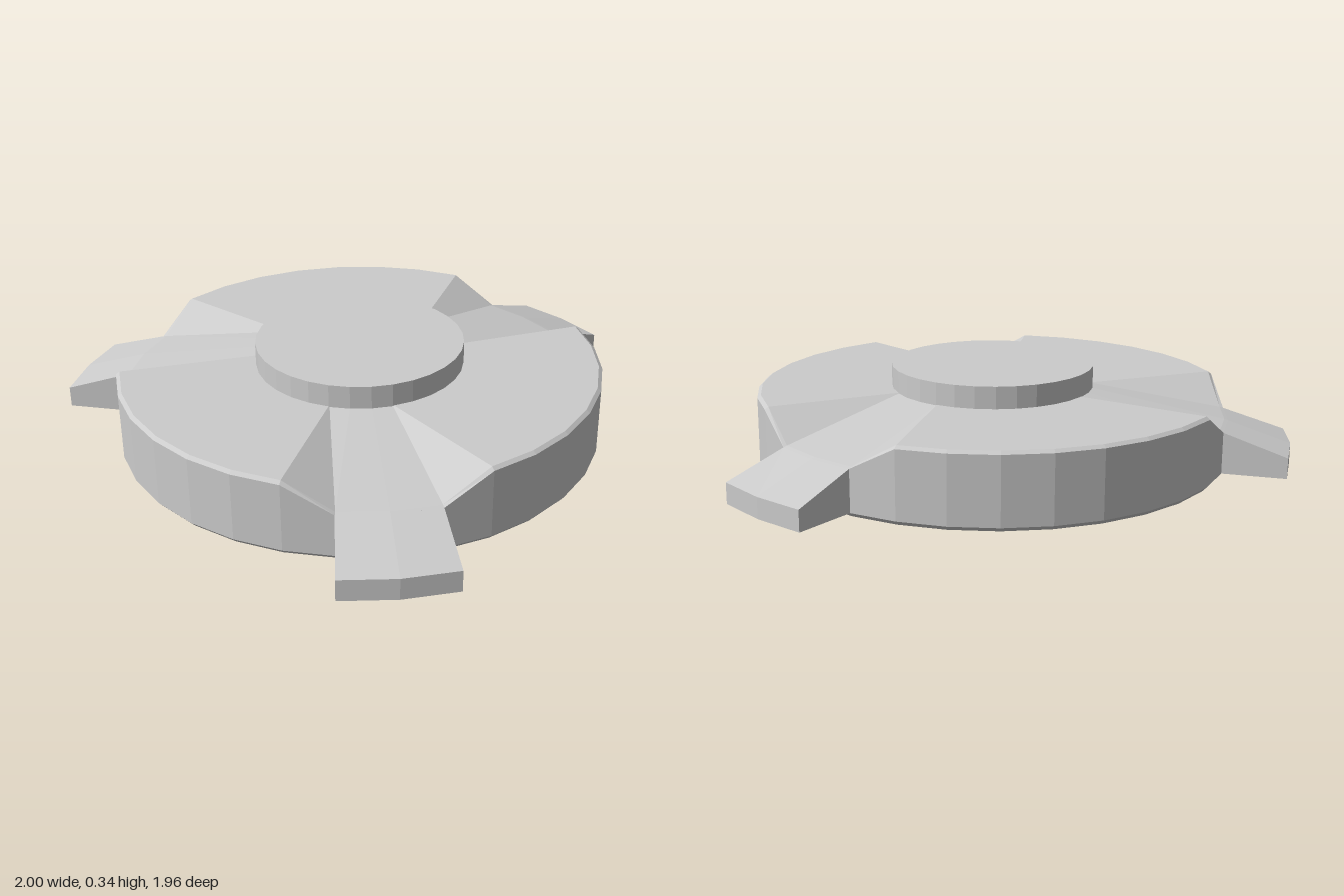
import * as THREE from 'three';

const SIDES = 32;
const STEP = (Math.PI * 2) / SIDES;
const RIM = 0.865, HUB = 0.372, TOP = 0.265, BASE = 0.015;
const FLOOR = 0.165; // groove floor height at the rim
const ARMS = [0, 11, 21]; // rim steps, counted from the back, where arms sit

const material = new THREE.MeshStandardMaterial({ color: 0xcccccc, flatShading: true });

// Point at radius r, height y and angle a, measured from the back towards +x
const polar = (r, y, a) => [r * Math.sin(a), y, -r * Math.cos(a)];

// Skin a list of rows; outside faces are seen with rows rising and columns turning
function skin(rows) {
  const pos = [];
  for (let i = 0; i < rows.length - 1; i++) {
    for (let j = 0; j < rows[i].length - 1; j++) {
      const a = rows[i][j], b = rows[i + 1][j], c = rows[i + 1][j + 1], d = rows[i][j + 1];
      pos.push(...a, ...b, ...c, ...a, ...c, ...d);
    }
  }
  const geo = new THREE.BufferGeometry();
  geo.setAttribute('position', new THREE.Float32BufferAttribute(pos, 3));
  geo.computeVertexNormals();
  return geo;
}

function part(name, geo) {
  const mesh = new THREE.Mesh(geo, material);
  mesh.name = name;
  return mesh;
}

// True where the rim is cut down to the groove floor
function inGroove(j) {
  return ARMS.some((k) => {
    const d = Math.abs((j % SIDES) - k);
    return Math.min(d, SIDES - d) <= 1;
  });
}

// Bevelled disc with three grooves ramping down from the hub to the rim
function discGeometry() {
  const rings = [
    () => [0, 0],
    () => [RIM - 0.013, 0],
    () => [RIM, BASE],
    (j) => [RIM, inGroove(j) ? FLOOR : TOP - 0.01],
    (j) => [RIM - 0.013, inGroove(j) ? FLOOR + 0.004 : TOP],
    () => [HUB - 0.01, TOP],
  ];
  return skin(rings.map((ring) =>
    Array.from({ length: SIDES + 1 }, (_, j) => polar(...ring(j), j * STEP))));
}

// Flared arm: top slopes down outwards, end follows an arc
function armGeometry() {
  const inner = [-STEP, 0, STEP];
  const outer = [-0.175, 0, 0.175];
  const bottomIn = inner.map((a) => polar(RIM, BASE, a));
  const bottomOut = outer.map((a) => polar(1.09, BASE, a));
  const topOut = outer.map((a) => polar(1.09, 0.09, a));
  const topIn = inner.map((a) => polar(RIM, FLOOR, a));
  const rows = [bottomIn, bottomOut, topOut, topIn];
  const shell = skin([...rows, bottomIn]);
  // Close both flanks
  const flank = (j, flip) => {
    const [a, b, c, d] = rows.map((row) => row[j]);
    return flip ? [...a, ...c, ...b, ...a, ...d, ...c] : [...a, ...b, ...c, ...a, ...c, ...d];
  };
  const pos = [...shell.attributes.position.array, ...flank(0, true), ...flank(2, false)];
  const geo = new THREE.BufferGeometry();
  geo.setAttribute('position', new THREE.Float32BufferAttribute(pos, 3));
  geo.computeVertexNormals();
  return geo;
}

export function createModel() {
  const model = new THREE.Group();
  model.name = 'threeArmedDisc';

  const body = new THREE.Group();
  body.name = 'body';
  body.position.z = 0.11;
  model.add(body);

  body.add(part('groovedDisc', discGeometry()));

  // Raised round hub
  const hub = part('hub', new THREE.CylinderGeometry(HUB, HUB, 0.095, SIDES));
  hub.position.y = 0.2975;
  body.add(hub);

  // One arm at the mouth of each groove
  const arm = armGeometry();
  ['backArm', 'leftArm', 'rightArm'].forEach((name, i) => {
    const mesh = part(name, arm);
    mesh.rotation.y = -ARMS[i] * STEP;
    body.add(mesh);
  });

  return model;
}
